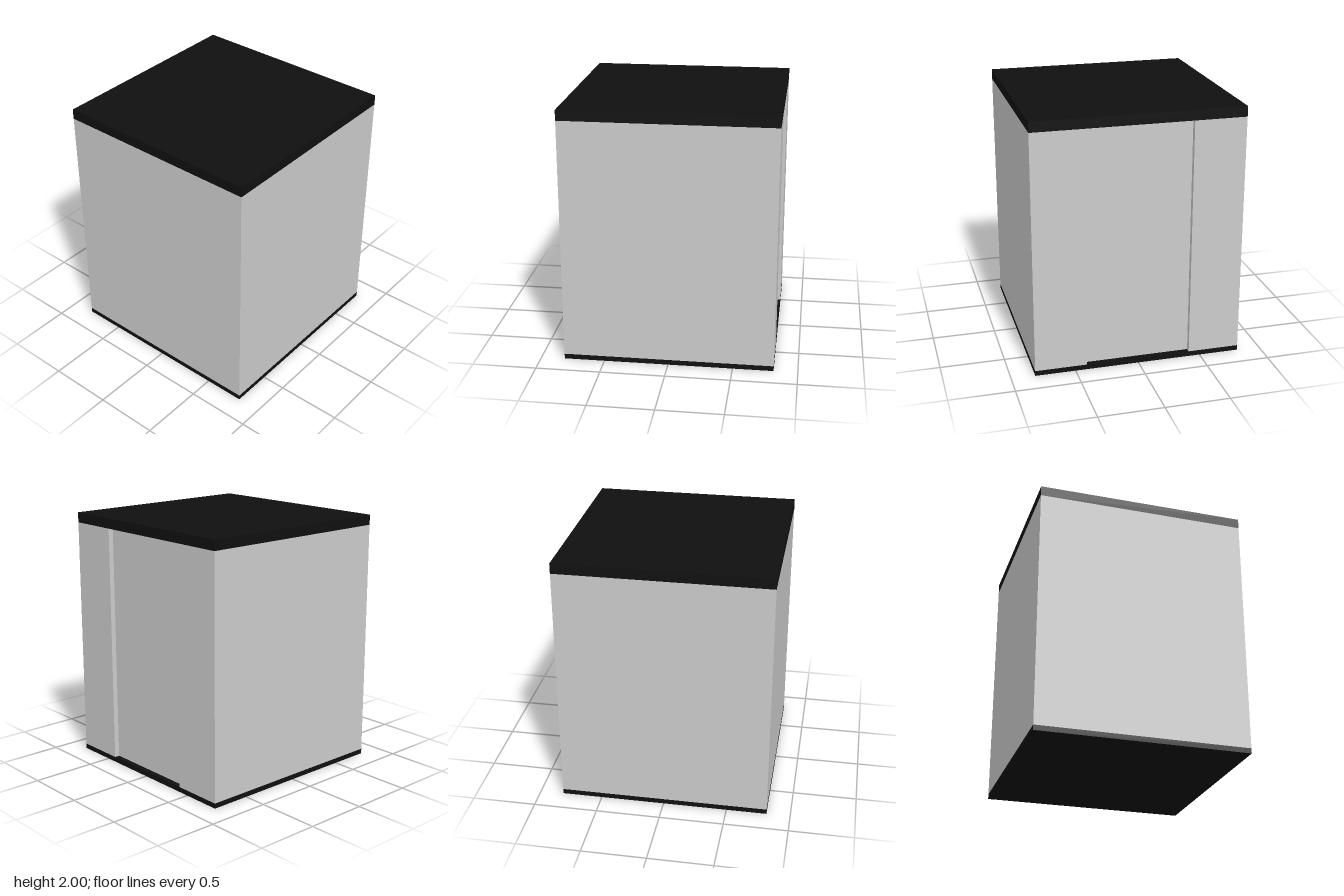
import * as THREE from 'three';

const HALF = 0.815;      // half width and half depth
const BASE = 0.04;       // base plate thickness
const LID = 0.08;        // top plate thickness
const HEIGHT = 2;
const RECESS = 0.04;     // depth of the side recess
const RECESS_HALF = 0.41;

export function createModel() {
  const group = new THREE.Group();
  group.name = 'cabinet';
  const grey = new THREE.MeshStandardMaterial({ color: 0xcccccc });
  const black = new THREE.MeshStandardMaterial({ color: 0x101010 });

  // Square plate whose underside is at y
  const addPlate = (name, y, thickness) => {
    const plate = new THREE.Mesh(new THREE.BoxGeometry(HALF * 2, thickness, HALF * 2), black);
    plate.name = name;
    plate.position.y = y + thickness / 2;
    group.add(plate);
  };
  addPlate('basePlate', 0, BASE);
  addPlate('topPlate', HEIGHT - LID, LID);

  // Body: square plan with a shallow full-height recess in the +x side
  const inner = HALF - RECESS;
  const plan = new THREE.Shape([
    [-HALF, -HALF], [HALF, -HALF], [HALF, -RECESS_HALF], [inner, -RECESS_HALF],
    [inner, RECESS_HALF], [HALF, RECESS_HALF], [HALF, HALF], [-HALF, HALF],
  ].map(([x, y]) => new THREE.Vector2(x, y)));
  const geometry = new THREE.ExtrudeGeometry(plan, { depth: HEIGHT - LID - BASE, bevelEnabled: false });
  geometry.rotateX(-Math.PI / 2);
  const body = new THREE.Mesh(geometry, grey);
  body.name = 'body';
  body.position.y = BASE;
  group.add(body);

  return group;
}
